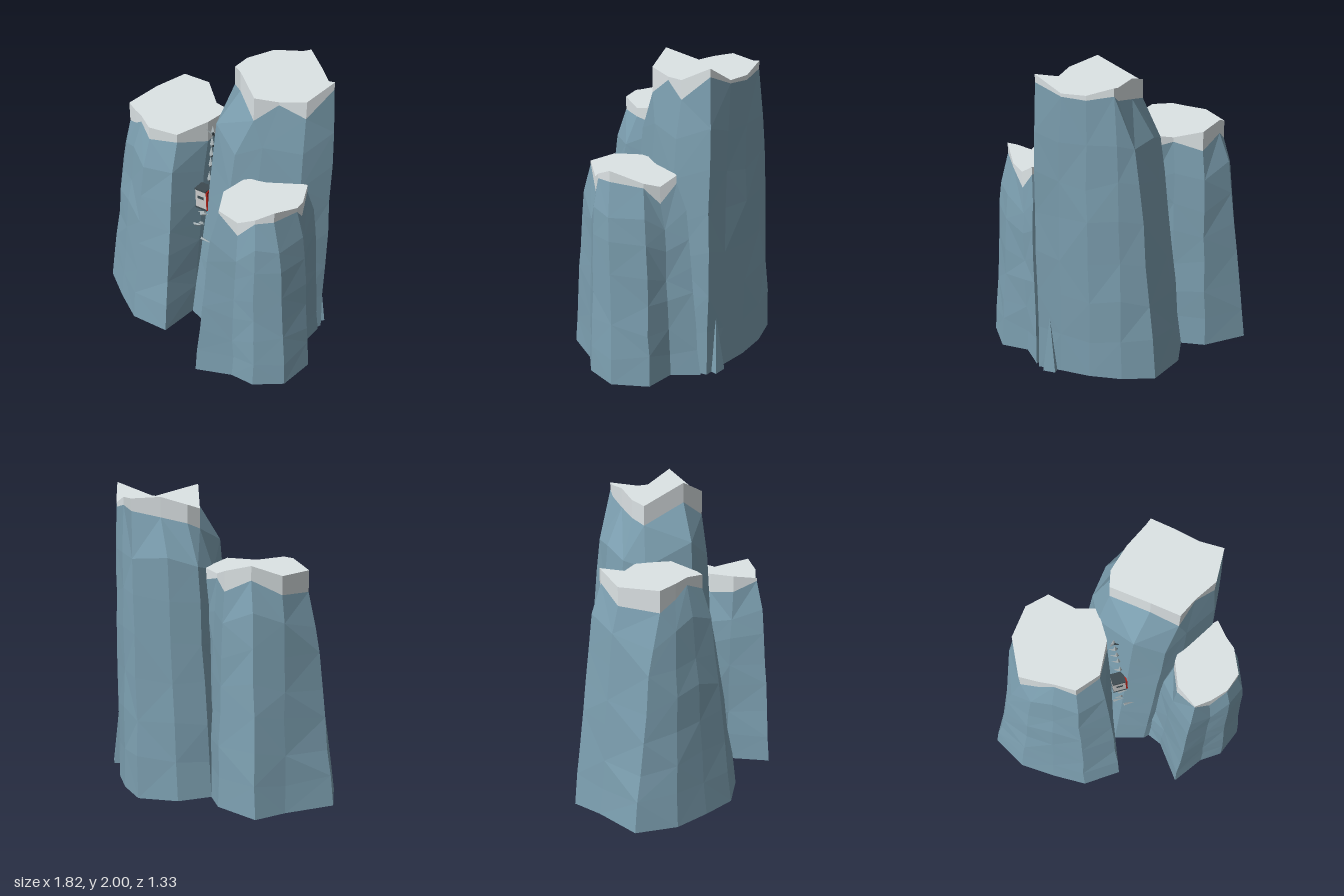
import * as THREE from 'three';

const mat = (color, flat = true) =>
  new THREE.MeshStandardMaterial({ color, flatShading: flat, side: THREE.DoubleSide });
const rock = mat(0x7c9fb0), snow = mat(0xdde4e6), snowTop = mat(0xdde4e6, false);
const dark = mat(0x3d4a50), pale = mat(0xb4c0c4), grey = mat(0xcccccc), red = mat(0xb02018);

// Each corner of a pillar: base x, base z, top x, top z, rim height, snow line height
const leftCorners = [
  [-0.35, 0.51, -0.31, 0.29, 1.53, 1.44], [-0.08, 0.49, -0.14, 0.22, 1.5, 1.44],
  [-0.04, 0.2, -0.04, 0.02, 1.53, 1.38], [-0.1, -0.2, -0.04, -0.22, 1.5, 1.42],
  [-0.16, -0.33, -0.17, -0.26, 1.48, 1.45], [-0.33, -0.46, -0.32, -0.38, 1.53, 1.4],
  [-0.64, -0.48, -0.48, -0.32, 1.57, 1.48], [-0.73, -0.28, -0.61, -0.17, 1.5, 1.38],
  [-0.91, 0.01, -0.63, 0.1, 1.5, 1.36], [-0.77, 0.25, -0.52, 0.17, 1.52, 1.42],
  [-0.56, 0.39, -0.43, 0.22, 1.54, 1.49],
];
const tallCorners = [
  [-0.16, -0.1, 0.03, -0.18, 1.87, 1.74], [-0.04, 0.22, 0.22, 0.04, 2, 1.87],
  [0.17, 0.28, 0.38, 0.13, 1.92, 1.76], [0.37, 0.23, 0.5, 0.04, 1.89, 1.87],
  [0.68, 0.05, 0.65, -0.03, 1.91, 1.79], [0.79, -0.19, 0.74, -0.19, 2, 1.95],
  [0.68, -0.3, 0.63, -0.32, 1.9, 1.88], [0.54, -0.45, 0.52, -0.43, 1.9, 1.87],
  [0.37, -0.58, 0.38, -0.52, 1.95, 1.9], [0.17, -0.67, 0.34, -0.49, 1.94, 1.86],
  [-0.07, -0.55, 0.19, -0.38, 1.95, 1.82], [-0.2, -0.36, 0.06, -0.27, 1.9, 1.78],
];
const smallCorners = [
  [0.31, 0.66, 0.4, 0.52, 1.33, 1.31], [0.54, 0.56, 0.52, 0.49, 1.27, 1.17],
  [0.7, 0.55, 0.63, 0.47, 1.33, 1.3], [0.87, 0.42, 0.72, 0.4, 1.38, 1.31],
  [0.91, 0.18, 0.76, 0.2, 1.31, 1.28], [0.78, 0.04, 0.74, 0.1, 1.28, 1.17],
  [0.79, -0.15, 0.71, 0, 1.34, 1.29], [0.5, -0.05, 0.45, 0.06, 1.33, 1.28],
  [0.2, 0.25, 0.36, 0.2, 1.35, 1.22], [0.28, 0.36, 0.33, 0.37, 1.35, 1.24],
];

function trianglesMesh(points, material, name) {
  const geo = new THREE.BufferGeometry().setFromPoints(points);
  geo.computeVertexNormals();
  const mesh = new THREE.Mesh(geo, material);
  mesh.name = name;
  return mesh;
}

// Faceted column with an upright snow band and a snow top. It leans in by the
// share "taper" up to the height "shoulder", and does the rest above it.
function pillar(name, corners, shoulder, taper, rows = 7) {
  const group = new THREE.Group();
  group.name = name;
  let seed = corners.length * 17;
  const rand = () => (seed = (seed * 16807) % 2147483647) / 2147483647 - 0.5;

  const at = ([bx, bz, tx, tz, , snowLine], y) => {
    const h = Math.min(1, y / snowLine);
    const t = h < shoulder ? (taper * h) / shoulder
      : taper + ((1 - taper) * (h - shoulder)) / (1 - shoulder);
    return new THREE.Vector3(bx + (tx - bx) * t, y, bz + (tz - bz) * t);
  };
  const rings = [];
  for (let r = 0; r <= rows; r++) {
    rings.push(corners.map((c) => {
      const p = at(c, (c[5] * r) / rows);
      if (r > 0 && r < rows) {
        p.x += rand() * 0.012;
        p.y += rand() * 0.06;
        p.z += rand() * 0.012;
      }
      return p;
    }));
  }
  const rim = corners.map((c) => at(c, c[4]));

  const band = (lo, up, out, odd) => lo.forEach((a, i) => {
    const j = (i + 1) % lo.length;
    if ((i + odd) % 2) out.push(a, lo[j], up[j], a, up[j], up[i]);
    else out.push(a, lo[j], up[i], lo[j], up[j], up[i]);
  });
  const fan = (ring, flip) => {
    const mid = ring.reduce((s, p) => s.add(p), new THREE.Vector3()).divideScalar(ring.length);
    return ring.flatMap((p, i) => {
      const q = ring[(i + 1) % ring.length];
      return flip ? [mid, q, p] : [mid, p, q];
    });
  };

  const side = [];
  for (let r = 0; r < rows; r++) band(rings[r], rings[r + 1], side, r);
  side.push(...fan(rings[0], true));
  const edge = [];
  band(rings[rows], rim, edge, 0);
  group.add(trianglesMesh(side, rock, 'rockFace'), trianglesMesh(edge, snow, 'snowEdge'));

  // Snow top shades as one even sheet
  const top = trianglesMesh(fan(rim, false), snowTop, 'snowTop');
  const n = top.geometry.attributes.normal;
  for (let i = 0; i < n.count; i++) n.setXYZ(i, 0, 1, 0);
  group.add(top);
  return group;
}

function box(name, size, pos, material) {
  const mesh = new THREE.Mesh(new THREE.BoxGeometry(...size), material);
  mesh.position.set(...pos);
  mesh.name = name;
  return mesh;
}

// Flat pointed blade growing from its root along +y
function blade(length, width, material) {
  const mesh = new THREE.Mesh(new THREE.ConeGeometry(width, length, 4), material);
  mesh.geometry.translate(0, length / 2, 0).scale(1, 1, 0.5);
  mesh.name = 'blade';
  return mesh;
}

// Upright blade with one on each side, spread by an angle
function tuft(size, spread) {
  const group = new THREE.Group();
  group.name = 'tuft';
  for (const s of [-1, 0, 1]) {
    const b = blade(size, size * 0.24, s < 0 ? dark : pale);
    b.rotation.set(s ? 0.6 : 0, 0, s * spread);
    group.add(b);
  }
  return group;
}

export function createModel() {
  const model = new THREE.Group();
  model.name = 'rockPillars';
  model.add(
    pillar('leftPillar', leftCorners, 0.83, 0.66),
    pillar('tallPillar', tallCorners, 0.86, 0.56),
    pillar('smallPillar', smallCorners, 0.88, 0.65),
  );

  // Low spur at the foot of the tall pillar
  const spur = new THREE.Mesh(new THREE.ConeGeometry(0.06, 0.38, 4), rock);
  spur.position.set(0.725, 0.19, -0.25);
  spur.name = 'footSpur';
  model.add(spur);

  // Trail of tufts running down the cleft
  const trail = new THREE.Group();
  trail.name = 'cleftTrail';
  const depth = (y) => 0.01 + (1.5 - y) * 0.24;
  [1.45, 1.38, 1.31, 1.24, 1.14].forEach((y, i) => {
    const t = tuft(0.07, i === 0 ? 0.5 : 2.6);
    t.position.set(i * 0.006, y, depth(y));
    trail.add(t);
  });

  // Loose slanted blades below the cabin
  for (const [x, y, length, angle] of [
    [0.0, 0.88, 0.08, -1.1], [0.03, 0.9, 0.07, 1.9], [-0.04, 0.79, 0.08, -1.2],
    [0.02, 0.82, 0.06, 2.2], [0.03, 0.71, 0.1, -1.65],
  ]) {
    const b = blade(length, 0.018, pale);
    b.position.set(x, y, depth(y));
    b.rotation.set(0.3, 0, angle);
    trail.add(b);
  }
  model.add(trail);

  // Small cabin hung in the cleft
  const cabin = new THREE.Group();
  cabin.name = 'cabin';
  cabin.add(
    box('cabinBody', [0.085, 0.14, 0.075], [0, 0, 0], grey),
    box('cabinWindow', [0.045, 0.02, 0.006], [0, 0.015, 0.038], dark),
    box('cabinRoof', [0.09, 0.012, 0.08], [0, 0.074, 0], dark),
    box('cabinFloor', [0.09, 0.012, 0.08], [0, -0.074, 0], dark),
    box('cabinDoor', [0.012, 0.15, 0.075], [0.049, 0, 0], red),
  );
  cabin.position.set(0.005, 1.01, 0.13);
  cabin.rotation.z = 0.04;
  model.add(cabin);
  return model;
}
